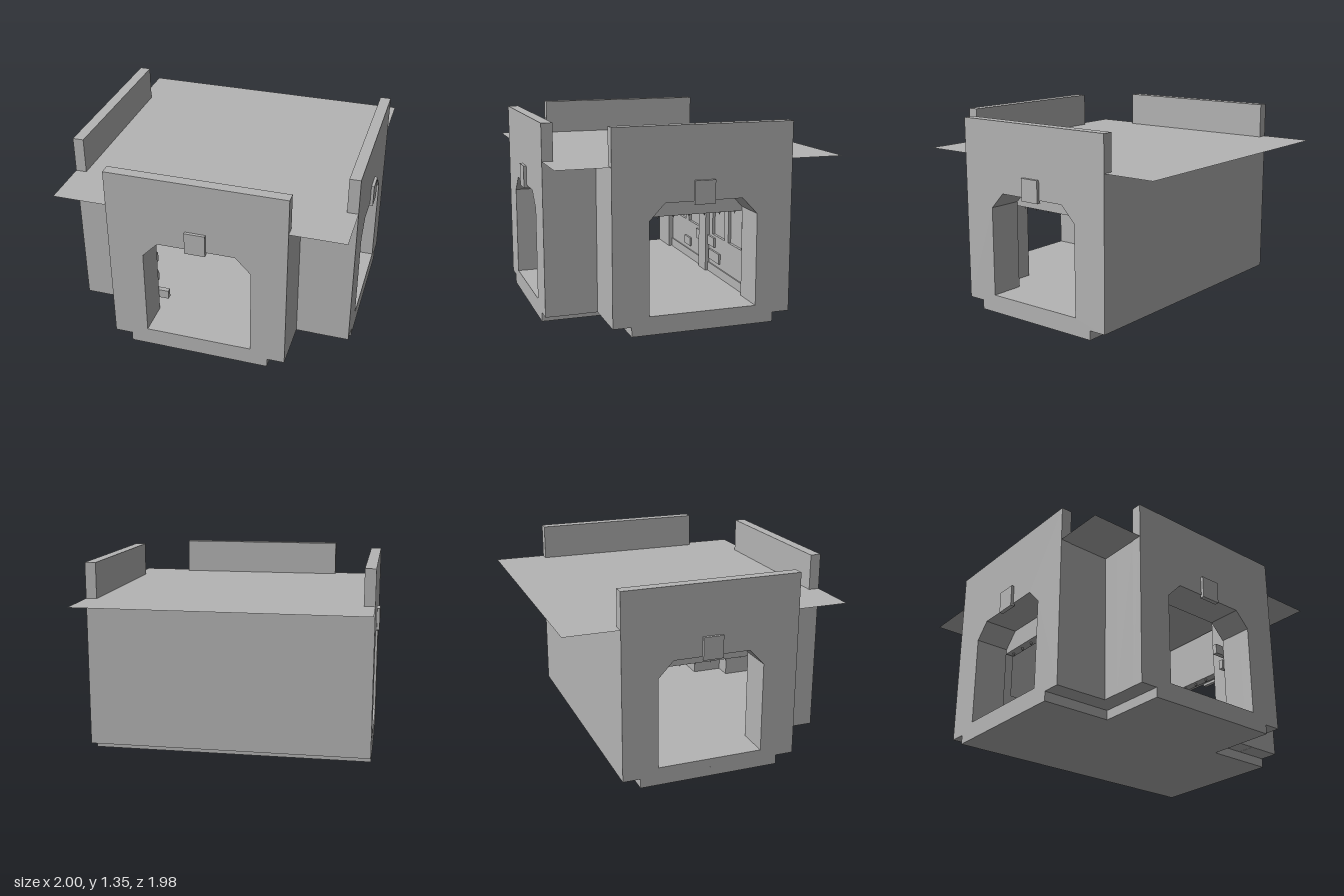
import * as THREE from 'three';

export function createModel() {
  const model = new THREE.Group();
  model.name = 'gatehouse';
  const stone = new THREE.MeshStandardMaterial({ color: 0xb4b4b4, flatShading: true, side: THREE.DoubleSide });
  stone.name = 'grey stone';

  const add = (parent, name, geometry) => {
    const mesh = new THREE.Mesh(geometry, stone);
    mesh.name = name;
    parent.add(mesh);
    return mesh;
  };
  // Box given by its limits on each axis
  const box = (parent, name, x0, x1, y0, y1, z0, z1) =>
    add(parent, name, new THREE.BoxGeometry(x1 - x0, y1 - y0, z1 - z0))
      .position.set((x0 + x1) / 2, (y0 + y1) / 2, (z0 + z1) / 2);
  const polygon = (points) => new THREE.Shape(points.map(([x, y]) => new THREE.Vector2(x, y)));
  const extrude = (shape, depth) => new THREE.ExtrudeGeometry(shape, { depth, bevelEnabled: false });

  // T-shaped slab: wide at the back, narrower towards the front
  const slab = (name, y0, y1, wide, back, middle, narrow, front) => {
    const mesh = add(model, name, extrude(polygon([
      [-wide, -back], [-wide, -middle], [-narrow, -middle], [-narrow, -front],
      [narrow, -front], [narrow, -middle], [wide, -middle], [wide, -back],
    ]), y1 - y0));
    mesh.rotation.x = -Math.PI / 2;
    mesh.position.y = y0;
  };
  slab('base', 0, 0.065, 0.98, -0.5, 0.485, 0.49, 0.965);
  slab('floor', 0.066, 0.125, 0.74, -0.43, 0.61, 0.61, 0.725);

  // Wall leaf with a chamfered arch cut through it
  const leaf = (half, top, depth) => {
    const shape = polygon([[-half, 0.065], [half, 0.065], [half, top], [-half, top]]);
    shape.holes.push(polygon([
      [-0.37, 0.125], [-0.37, 0.75], [-0.265, 0.86], [0.265, 0.86], [0.37, 0.75], [0.37, 0.125],
    ]));
    return extrude(shape, depth);
  };

  // Gate wall facing local +z: tall outer leaf, lower inner leaf, keystone
  const gate = (name, half, out, inner) => {
    const group = new THREE.Group();
    group.name = name;
    add(group, 'outerLeaf', leaf(half, 1.35, 0.075)).position.z = out - 0.075;
    add(group, 'innerLeaf', leaf(half, 1.1, 0.165)).position.z = inner;
    box(group, 'keystone', -0.07, 0.07, 0.84, 0.995, out - 0.01, out + 0.02);
    model.add(group);
    return group;
  };

  const front = gate('frontGate', 0.61, 0.965, 0.725);
  // Loose bricks standing out on the inside of the front gate
  for (const [x0, x1, y0, y1] of [
    [-0.44, -0.3, 0.225, 0.29], [-0.5, -0.375, 0.36, 0.43], [-0.46, -0.375, 0.52, 0.59],
    [0.3, 0.44, 0.635, 0.705], [0.355, 0.46, 0.535, 0.6],
  ]) box(front, 'innerBrick', x0, x1, y0, y1, 0.69, 0.725);

  for (const side of [-1, 1]) {
    const wall = gate(side > 0 ? 'leftGate' : 'rightGate', 0.615, 0.98, 0.74);
    wall.rotation.y = side * Math.PI / 2;
    wall.position.z = -0.005;
    // Raised gate with a row of points under it
    box(wall, 'raisedGate', -0.38, 0.4, 0.72, 1.09, 0.67, 0.735);
    for (let i = -3; i <= 3; i++) {
      const spike = add(wall, 'gateSpike', new THREE.ConeGeometry(0.012, 0.026, 4));
      spike.rotation.x = Math.PI;
      spike.position.set(i * 0.111, 0.708, 0.7);
    }
    // Inner corner between the side and front walls
    const span = (a, b) => (side > 0 ? [a, b] : [-b, -a]);
    box(model, 'cornerWall', ...span(0.5, 0.74), 0.066, 1.099, 0.5, 0.61);
    box(model, 'cornerReturn', ...span(0.5, 0.61), 0.066, 1.099, 0.61, 0.725);
    // Upright strips between the sunken panels of the back wall
    for (const [a, b] of [[0.07, 0.135], [0.36, 0.43], [0.66, 0.74]])
      box(model, 'panelStrip', ...span(a, b), 0.42, 1.09, -0.43, -0.41);
  }

  // Back wall with its inside panelling
  box(model, 'backWall', -0.74, 0.74, 0.065, 1.1, -0.62, -0.43);
  box(model, 'lowerPanelling', -0.74, 0.74, 0.125, 0.42, -0.43, -0.41);
  box(model, 'skirting', -0.74, 0.74, 0.125, 0.19, -0.41, -0.4);
  box(model, 'pilaster', -0.07, 0.07, 0.125, 1.09, -0.43, -0.38);
  for (const [x0, x1, y0, y1] of [
    [-0.42, -0.3, 0.225, 0.29], [0.095, 0.29, 0.225, 0.3], [-0.165, -0.07, 0.325, 0.4],
    [0.07, 0.195, 0.33, 0.4], [0.07, 0.22, 0.74, 0.82],
  ]) box(model, 'backBrick', x0, x1, y0, y1, -0.42, -0.395);

  // Thin roof sheet overhanging the back and the front corners
  const roof = add(model, 'roof', new THREE.PlaneGeometry(1.96, 1.955));
  roof.rotation.x = -Math.PI / 2;
  roof.position.set(0, 1.103, -0.0125);

  return model;
}
